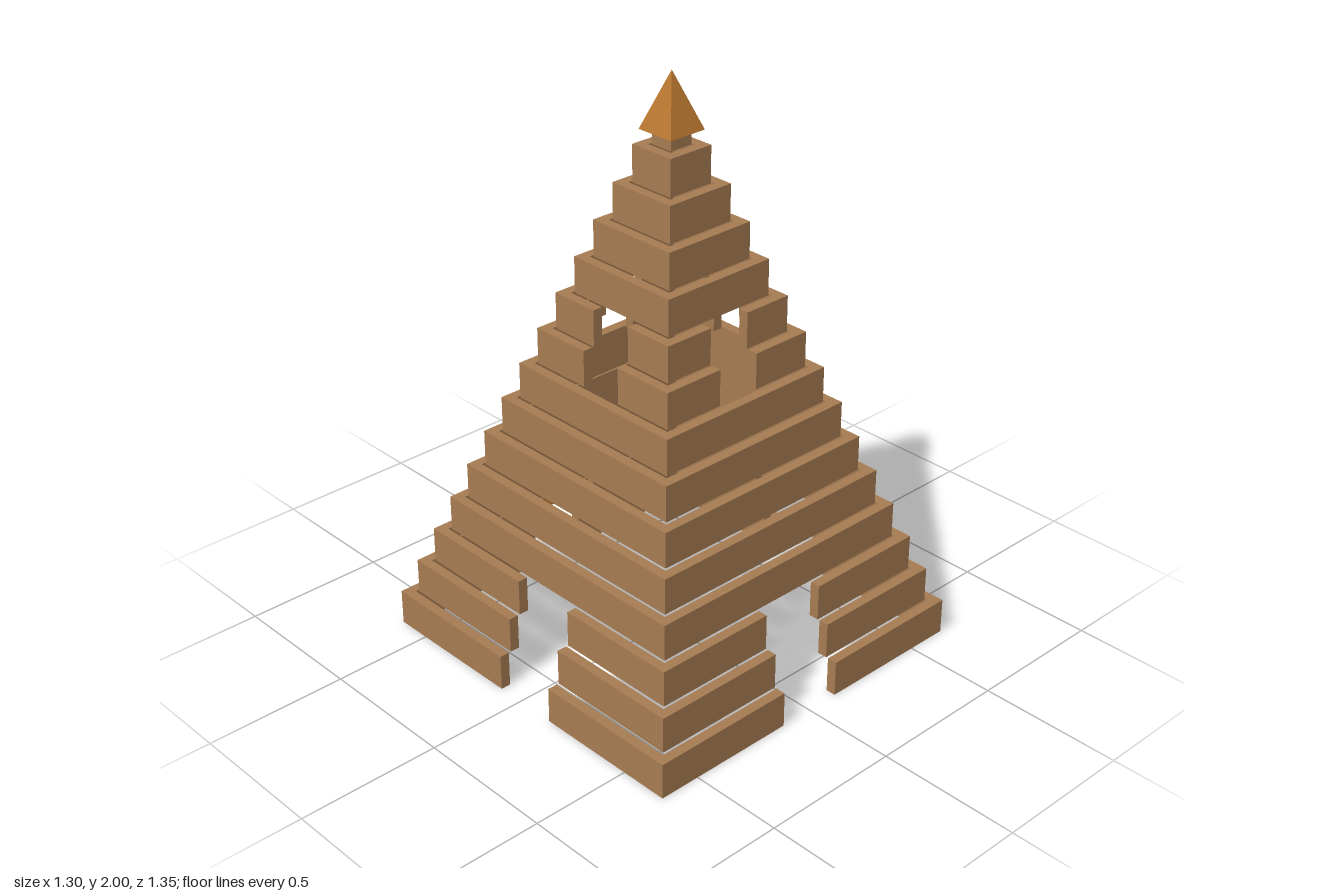
import * as THREE from 'three';

const timber = new THREE.MeshStandardMaterial({ color: 0xa67c52 });
timber.name = 'wall timber';
const copper = new THREE.MeshStandardMaterial({ color: 0xb87730 });
copper.name = 'copper wood';
const pale = new THREE.MeshStandardMaterial({ color: 0xc19a6b });
pale.name = 'pale post wood';

const TIERS = 14, TIER_H = 0.1258, BASE = 0.648, STEP = 0.0433, WALL = 0.035;
const CENTRE_Z = 0.0245;

function add(parent, name, geometry, material, x = 0, y = 0, z = 0) {
  const mesh = new THREE.Mesh(geometry, material);
  mesh.name = name;
  mesh.position.set(x, y, z);
  parent.add(mesh);
  return mesh;
}

// Raises a floor plan into a wall one tier high
function raise(shape) {
  return new THREE.ExtrudeGeometry(shape, { depth: TIER_H, bevelEnabled: false }).rotateX(-Math.PI / 2);
}

function polygon(points) {
  return points.map(([x, y]) => new THREE.Vector2(x, y));
}

function square(h) {
  return polygon([[-h, -h], [h, -h], [h, h], [-h, h]]);
}

// Closed square ring of wall
function ringWall(half) {
  const shape = new THREE.Shape(square(half));
  shape.holes.push(new THREE.Path(square(half - WALL).reverse()));
  return raise(shape);
}

// L-shaped corner that leaves a doorway on either side
function cornerWall(half, door) {
  const inner = half - WALL;
  return raise(new THREE.Shape(polygon([
    [door, half], [door, inner], [inner, inner], [inner, door], [half, door], [half, half],
  ])));
}

// Half width of the opening in a tier, or zero
function doorway(tier) {
  if (tier < 3) return 0.119;
  if (tier === 8 || tier === 9) return 0.079;
  return 0;
}

export function createModel() {
  const model = new THREE.Group();
  model.name = 'steppedTower';

  const tower = new THREE.Group();
  tower.name = 'tower';
  tower.position.z = CENTRE_Z;
  model.add(tower);

  // Stepped hollow tiers
  for (let i = 0; i < TIERS; i++) {
    const half = BASE - i * STEP, door = doorway(i), y = i * TIER_H;
    if (!door) {
      add(tower, 'tierWall', ringWall(half), timber, 0, y, 0);
      continue;
    }
    const geometry = cornerWall(half, door);
    for (let k = 0; k < 4; k++) {
      add(tower, 'tierCorner', geometry, timber, 0, y, 0).rotation.y = k * Math.PI / 2;
    }
  }

  // Thin rails in the gaps at the back
  for (const tier of [3, 7, 10]) {
    const half = BASE - tier * STEP;
    add(tower, 'backRail', new THREE.BoxGeometry(half * 2 + 0.01, 0.007, 0.007), timber,
      0, tier * TIER_H - 0.05, -half - 0.005);
  }

  // Neck and pointed cap
  const neckY = TIERS * TIER_H;
  add(tower, 'neck', new THREE.BoxGeometry(0.084, 0.05, 0.084), timber, 0, neckY + 0.025, 0);
  const cap = new THREE.ConeGeometry(0.071 * Math.SQRT2, 0.19, 4).rotateY(Math.PI / 4).toNonIndexed();
  cap.computeVertexNormals();
  add(tower, 'capPyramid', cap, copper, 0, 1.905, 0);

  // Gate at the back doorway
  const gate = new THREE.Group();
  gate.name = 'backGate';
  gate.position.z = -0.642;
  model.add(gate);
  add(gate, 'lintel', new THREE.BoxGeometry(0.446, 0.046, 0.058), copper, 0, 0.257, 0);
  add(gate, 'lintelCentre', new THREE.BoxGeometry(0.29, 0.084, 0.062), copper, 0, 0.2385, -0.001);
  for (const side of [-1, 1]) {
    add(gate, 'gatePost', new THREE.BoxGeometry(0.055, 0.236, 0.055), pale, side * 0.19, 0.118, 0);
  }
  return model;
}
